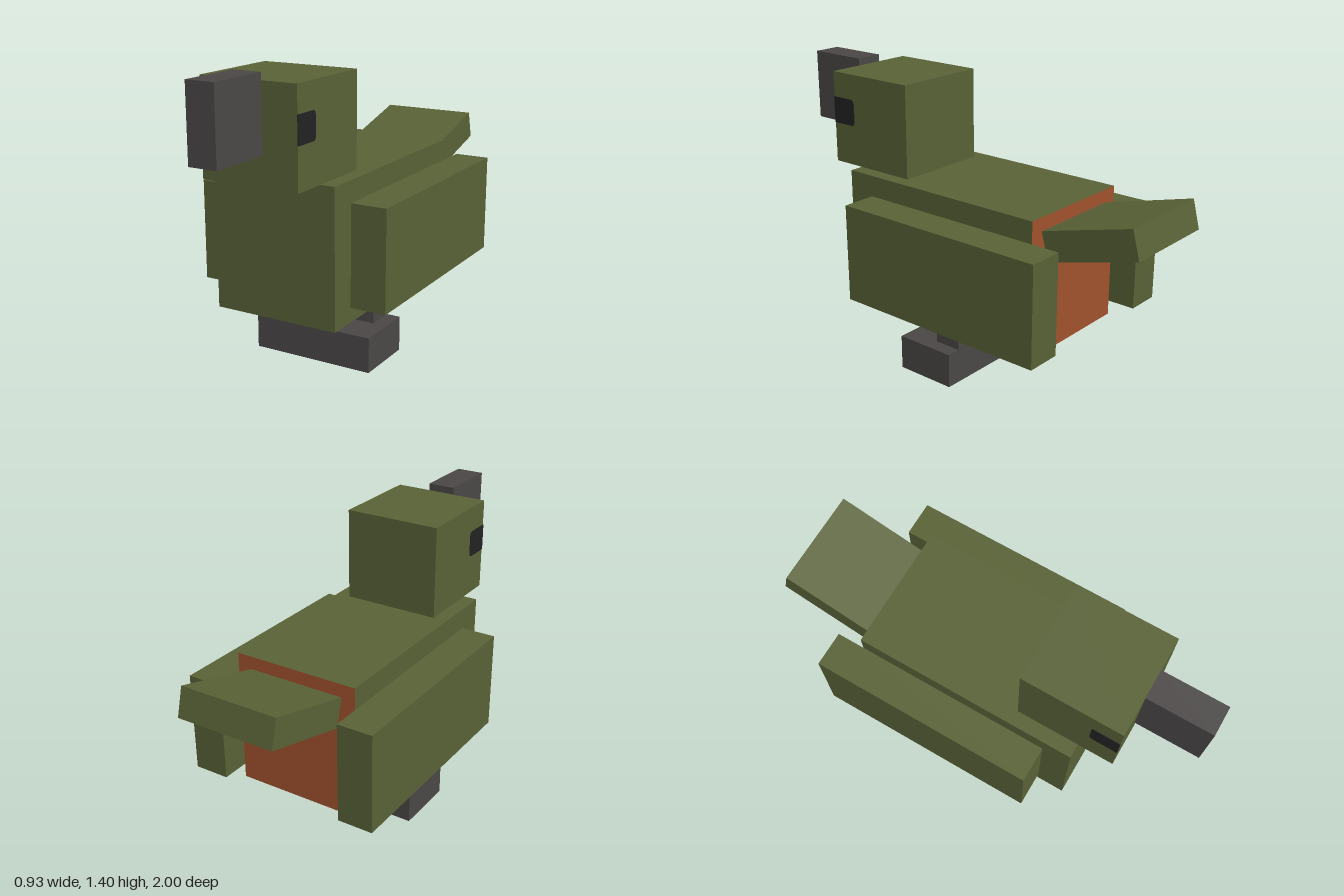
import * as THREE from 'three';

export function createModel() {
  const model = new THREE.Group();
  model.name = 'bird';

  const paint = (name, color) => {
    const m = new THREE.MeshStandardMaterial({ color });
    m.name = name;
    return m;
  };
  const olive = paint('olive feathers', 0x586136);
  const rust = paint('rust rump', 0xa0522d);
  const grey = paint('dark grey', 0x4a4646);
  const black = paint('eye black', 0x222222);

  // Box from its lower and upper corners
  const block = (name, material, [x0, y0, z0], [x1, y1, z1]) => {
    const mesh = new THREE.Mesh(new THREE.BoxGeometry(x1 - x0, y1 - y0, z1 - z0), material);
    mesh.position.set((x0 + x1) / 2, (y0 + y1) / 2, (z0 + z1) / 2);
    mesh.name = name;
    model.add(mesh);
    return mesh;
  };

  // Body with a rust coloured back face
  block('body', [olive, olive, olive, olive, olive, rust], [-0.3, 0.303, -0.533], [0.3, 0.935, 0.533]);
  block('head', olive, [-0.233, 0.935, 0.235], [0.233, 1.37, 0.7]);
  block('beak', grey, [-0.067, 1.07, 0.7], [0.067, 1.403, 1]);
  block('feet', grey, [-0.3, 0, -0.067], [0.3, 0.167, 0.235]);

  // Tail, hinged at the rump and raised by 15 degrees
  const tail = block('tail', olive, [-0.233, -0.067, -0.225], [0.233, 0.067, 0.225]);
  tail.position.set(0, 0.867, -0.766);
  tail.rotation.x = Math.PI / 12;

  // Eye outline: square at the front of the face, rounded behind
  const r = 0.02, h = 0.0625, w = 0.13;
  const outline = new THREE.Shape();
  outline.moveTo(0, -h);
  outline.lineTo(w - r, -h);
  outline.quadraticCurveTo(w, -h, w, -h + r);
  outline.lineTo(w, h - r);
  outline.quadraticCurveTo(w, h, w - r, h);
  outline.lineTo(0, h);
  const eyeGeometry = new THREE.ExtrudeGeometry(outline, { depth: 0.004, bevelEnabled: false, curveSegments: 3 });
  eyeGeometry.rotateY(Math.PI / 2); // outline now runs back along -z, thickness along +x

  // Paired parts
  for (const side of [-1, 1]) {
    const label = side > 0 ? 'left' : 'right';
    const pair = (name, material, inner, outer, [y0, z0], [y1, z1]) =>
      block(label + name, material,
        [Math.min(side * inner, side * outer), y0, z0],
        [Math.max(side * inner, side * outer), y1, z1]);
    pair('Wing', olive, 0.3, 0.467, [0.37, -0.667], [0.835, 0.4]);
    pair('Leg', grey, 0.067, 0.233, [0.167, -0.067], [0.303, 0.067]);

    const eye = new THREE.Mesh(eyeGeometry, black);
    eye.name = label + 'Eye';
    eye.position.set(side > 0 ? 0.232 : -0.236, 1.188, 0.7);
    model.add(eye);
  }

  return model;
}
